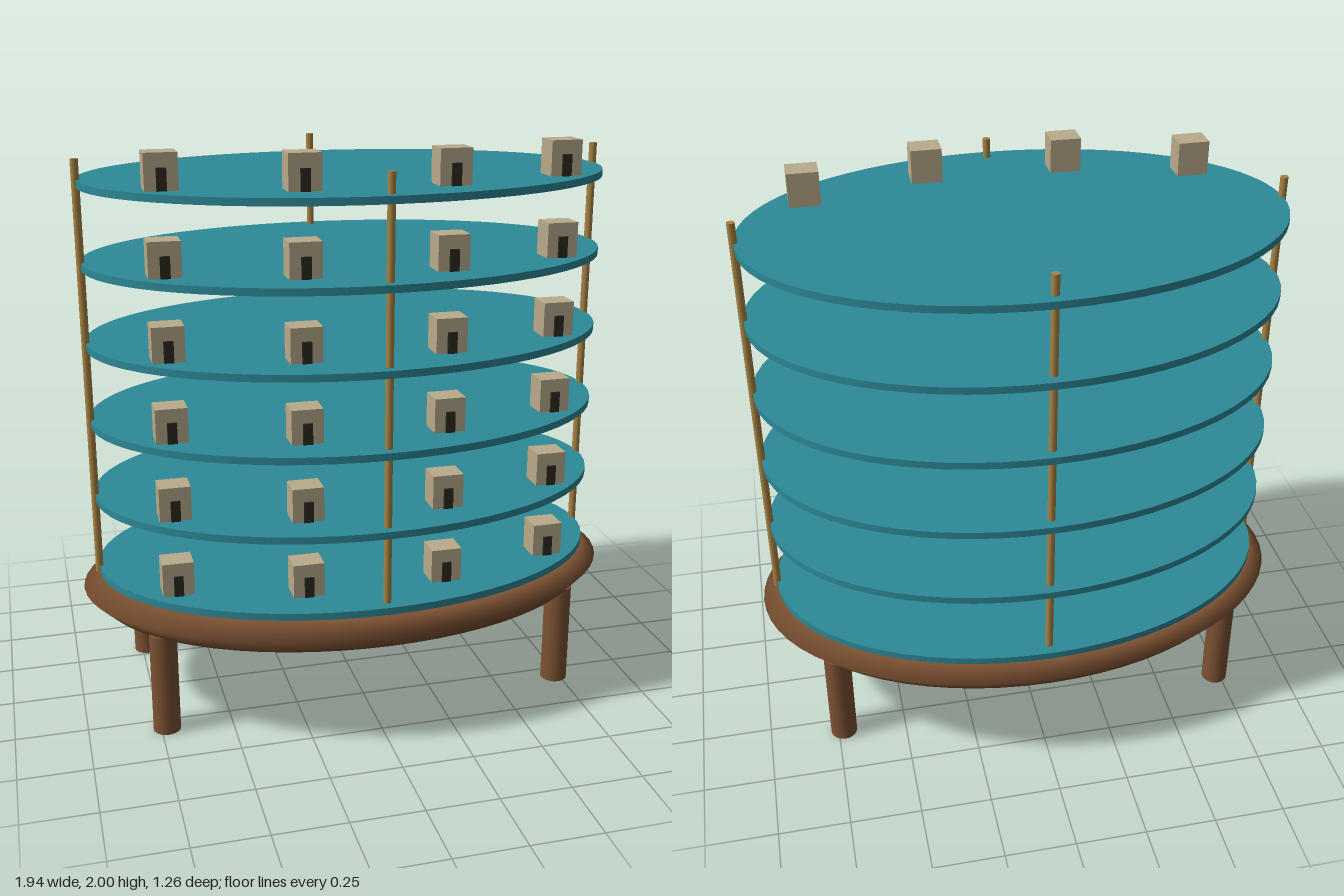
import * as THREE from 'three';

export function createModel() {
  const material = (name, color) => {
    const m = new THREE.MeshStandardMaterial({ color });
    m.name = name;
    return m;
  };
  const wood = material('brown wood', 0x7d5233);
  const teal = material('teal shelf', 0x2e8a99);
  const brass = material('brass', 0xa98444);
  const stone = material('sandstone', 0xb9aa8a);
  const dark = material('dark doorway', 0x2b2820);

  const model = new THREE.Group();
  model.name = 'tieredTable';
  const add = (name, geometry, mat, x, y, z, parent = model) => {
    const mesh = new THREE.Mesh(geometry, mat);
    mesh.name = name;
    mesh.position.set(x, y, z);
    parent.add(mesh);
    return mesh;
  };

  // Oval table top with a bevelled rim
  const rim = [[0, 0.37], [0.91, 0.37], [0.97, 0.427], [0.91, 0.478], [0, 0.478]];
  const topGeo = new THREE.LatheGeometry(rim.map(([r, y]) => new THREE.Vector2(r, y)), 64);
  topGeo.scale(1, 1, 0.65);
  add('tableTop', topGeo, wood, 0, 0, 0);

  // Four round legs
  const legGeo = new THREE.CylinderGeometry(0.048, 0.048, 0.375, 24);
  for (const x of [-0.73, 0.73])
    for (const z of [-0.305, 0.305]) add('leg', legGeo, wood, x, 0.1875, z);

  // Four slim posts running through the shelves
  const postGeo = new THREE.CylinderGeometry(0.0135, 0.0135, 1.46, 12);
  for (const [x, z] of [[-0.912, 0], [0.912, 0], [0, -0.547], [0, 0.547]])
    add('post', postGeo, brass, x, 1.22, z);

  // Oval shelves, each with a row of four little huts
  const shelfGeo = new THREE.CylinderGeometry(0.912, 0.912, 0.025, 64);
  shelfGeo.scale(1, 1, 0.65);
  const hutGeo = new THREE.BoxGeometry(0.107, 0.118, 0.09);
  const doorGeo = new THREE.BoxGeometry(0.032, 0.072, 0.009);
  for (let i = 0; i < 6; i++) {
    const y = 0.5 + i * 0.2738;
    add('shelf', shelfGeo, teal, 0, y, 0);
    for (const [x, z] of [[-0.67, 0.277], [-0.244, 0.396], [0.244, 0.396], [0.67, 0.277]]) {
      const hut = new THREE.Group();
      hut.name = 'hut';
      hut.position.set(x, y + 0.0125, z);
      add('hutBody', hutGeo, stone, 0, 0.059, 0, hut);
      add('hutDoor', doorGeo, dark, 0, 0.036, 0.0485, hut);
      model.add(hut);
    }
  }
  return model;
}
